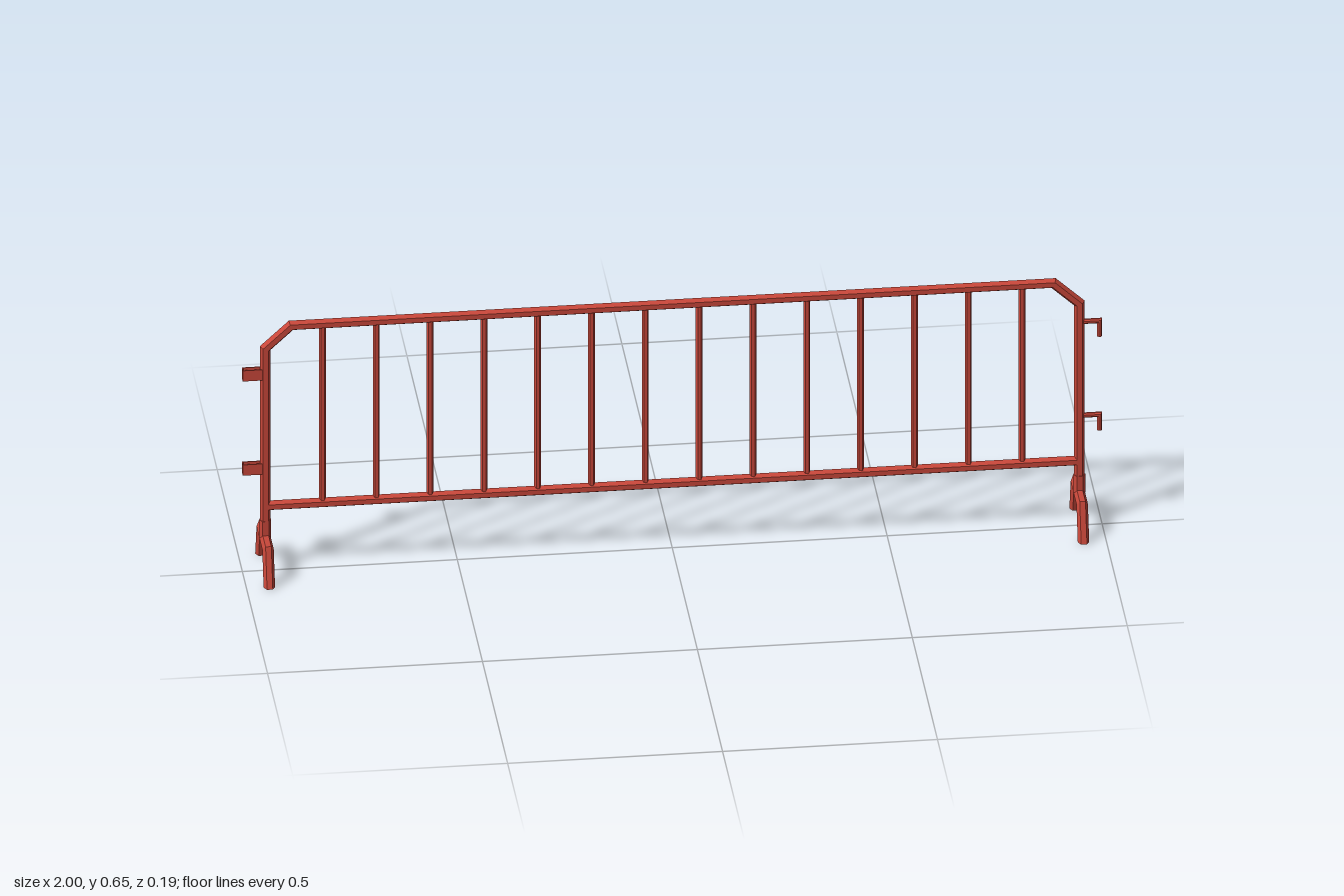
import * as THREE from 'three';

const V = (x, y, z) => new THREE.Vector3(x, y, z);

// Sweeps a regular polygon along a flat polyline with mitred corners.
// n: normal of the polyline's plane; turn: rotation of the section;
// cut: optional direction lying in the plane of both end cuts.
function sweep(points, n, radius, { sides = 6, turn = 0, cut = null } = {}) {
  const pos = [], index = [], last = points.length - 1;
  const sideOf = i => n.clone().cross(points[i + 1].clone().sub(points[i]).normalize());
  points.forEach((p, i) => {
    const a = sideOf(Math.max(i - 1, 0)), b = sideOf(Math.min(i, last - 1));
    let side = a.clone().add(b).normalize();
    if (cut && (i === 0 || i === last)) side = cut.clone();
    side.divideScalar(side.dot(a));
    for (let j = 0; j < sides; j++) {
      const t = turn + j * 2 * Math.PI / sides;
      const q = p.clone().addScaledVector(side, radius * Math.cos(t)).addScaledVector(n, radius * Math.sin(t));
      pos.push(q.x, q.y, q.z);
    }
  });
  for (let i = 0; i < last; i++) {
    for (let j = 0; j < sides; j++) {
      const k = (j + 1) % sides, r = i * sides, s = r + sides;
      index.push(r + j, r + k, s + k, r + j, s + k, s + j);
    }
  }
  for (let j = 1; j < sides - 1; j++) {
    index.push(0, j + 1, j, last * sides, last * sides + j, last * sides + j + 1);
  }
  const indexed = new THREE.BufferGeometry();
  indexed.setAttribute('position', new THREE.Float32BufferAttribute(pos, 3));
  indexed.setIndex(index);
  const g = indexed.toNonIndexed(); // faceted normals
  g.computeVertexNormals();
  return g;
}

export function createModel() {
  const model = new THREE.Group();
  model.name = 'crowdBarrier';
  const red = new THREE.MeshStandardMaterial({ color: 0xc8473a });
  red.name = 'paintedRed';
  const add = (name, geometry) => {
    const mesh = new THREE.Mesh(geometry, red);
    mesh.name = name;
    model.add(mesh);
    return mesh;
  };
  const X = V(1, 0, 0), Z = V(0, 0, 1);
  const postX = 0.947, topY = 0.639, railY = 0.17, tube = 0.0125;

  // Outer frame: posts, chamfered corners and top rail in one bent tube
  add('frame', sweep([
    V(-postX, 0.09, 0), V(-postX, 0.583, 0), V(-0.887, topY, 0),
    V(0.887, topY, 0), V(postX, 0.583, 0), V(postX, 0.09, 0),
  ], Z, tube));
  add('bottomRail', sweep([V(-postX, railY, 0), V(postX, railY, 0)], Z, tube));

  // Upright bars
  for (let i = 0; i < 14; i++) {
    const x = (i - 6.5) * 0.1252;
    add('uprightBar', sweep([V(x, railY, 0), V(x, topY, 0)], Z, 0.008));
  }

  // Feet with sockets for the posts
  for (const s of [-1, 1]) {
    const x = s * postX;
    add('foot', sweep([
      V(x, 0, 0.0835), V(x, 0.0855, 0.0575), V(x, 0.0855, -0.0575), V(x, 0, -0.0835),
    ], X, 0.0133, { turn: Math.PI / 6 + Math.PI / 3, cut: V(0, 0, 1) }));
    add('footSocket', sweep([V(x, 0.0855, 0), V(x, 0.134, 0)], Z, 0.0142));
  }

  // Hooks on the left post
  for (const y of [0.534, 0.288]) {
    add('hook', sweep([V(postX, y, 0), V(0.994, y, 0), V(0.994, y - 0.04, 0)],
      Z, 0.0062, { sides: 8, turn: Math.PI / 8 }));
  }

  // Open loops on the right post that receive the hooks
  const rect = (Path, x0, x1, h) => new Path()
    .moveTo(x0, -h).lineTo(x1, -h).lineTo(x1, h).lineTo(x0, h).closePath();
  const outline = rect(THREE.Shape, -1, -0.945, 0.0085);
  outline.holes.push(rect(THREE.Path, -0.9975, -0.95, 0.006));
  for (const y of [0.517, 0.27]) {
    const g = new THREE.ExtrudeGeometry(outline, { depth: 0.028, bevelEnabled: false });
    g.rotateX(-Math.PI / 2);
    add('hookLoop', g).position.y = y - 0.014;
  }
  return model;
}
